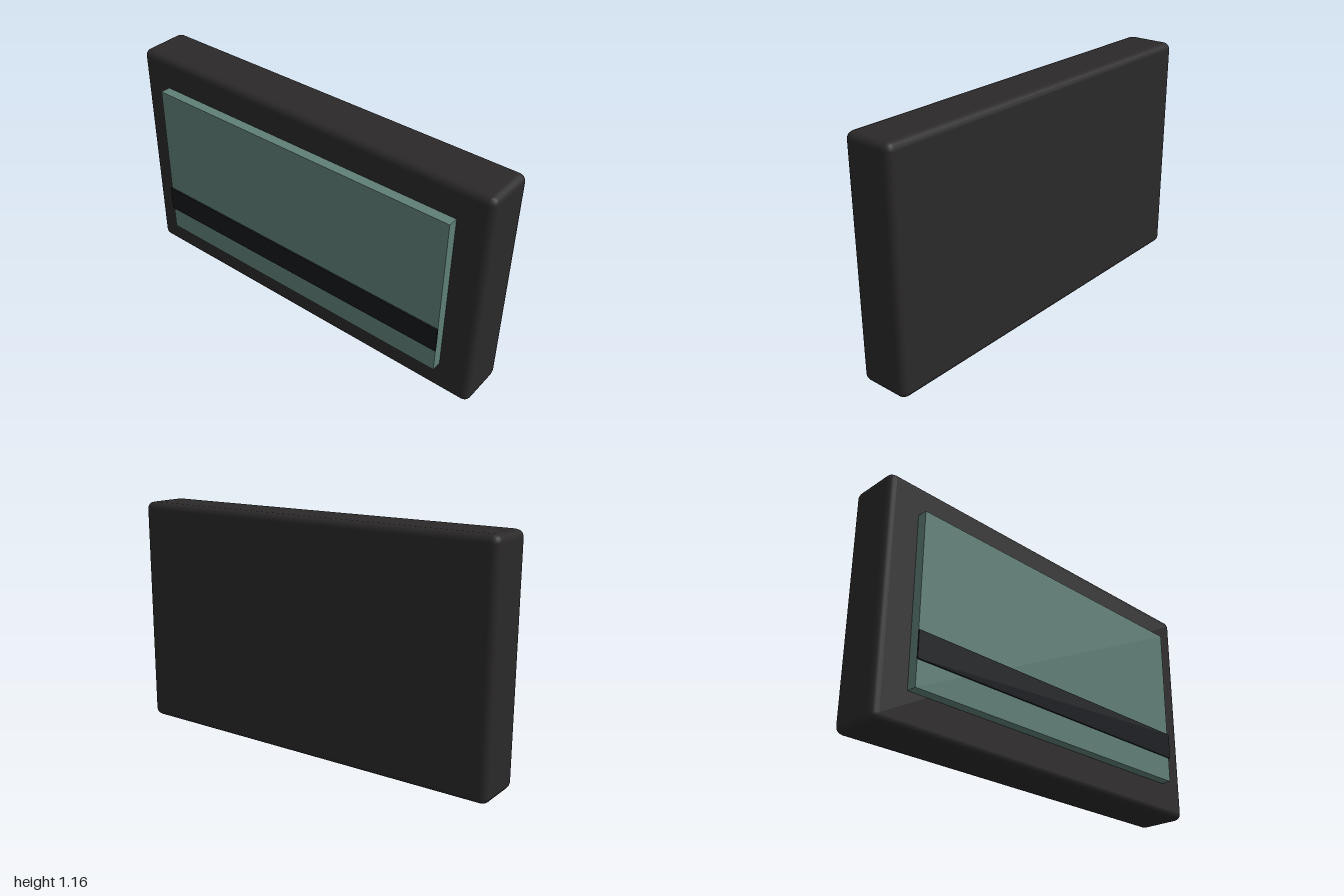
import * as THREE from 'three';
import { RoundedBoxGeometry } from 'three/addons/geometries/RoundedBoxGeometry.js';

export function createModel() {
  const group = new THREE.Group();

  const add = (name, geometry, color, y, z) => {
    const mesh = new THREE.Mesh(geometry, new THREE.MeshStandardMaterial({ color }));
    mesh.name = name;
    mesh.position.set(0, y, z);
    group.add(mesh);
  };

  // Slab casing with softly rounded edges
  add('casing', new RoundedBoxGeometry(2, 1.16, 0.258, 2, 0.035), 0x2b292a, 0.58, -0.029);

  // Raised panel on the front face
  add('screenPanel', new THREE.BoxGeometry(1.675, 0.835, 0.06), 0x5f7f76, 0.5825, 0.12);

  // Dark band lying across the lower part of the panel
  add('darkBand', new THREE.BoxGeometry(1.68, 0.13, 0.008), 0x15181c, 0.355, 0.154);

  return group;
}
